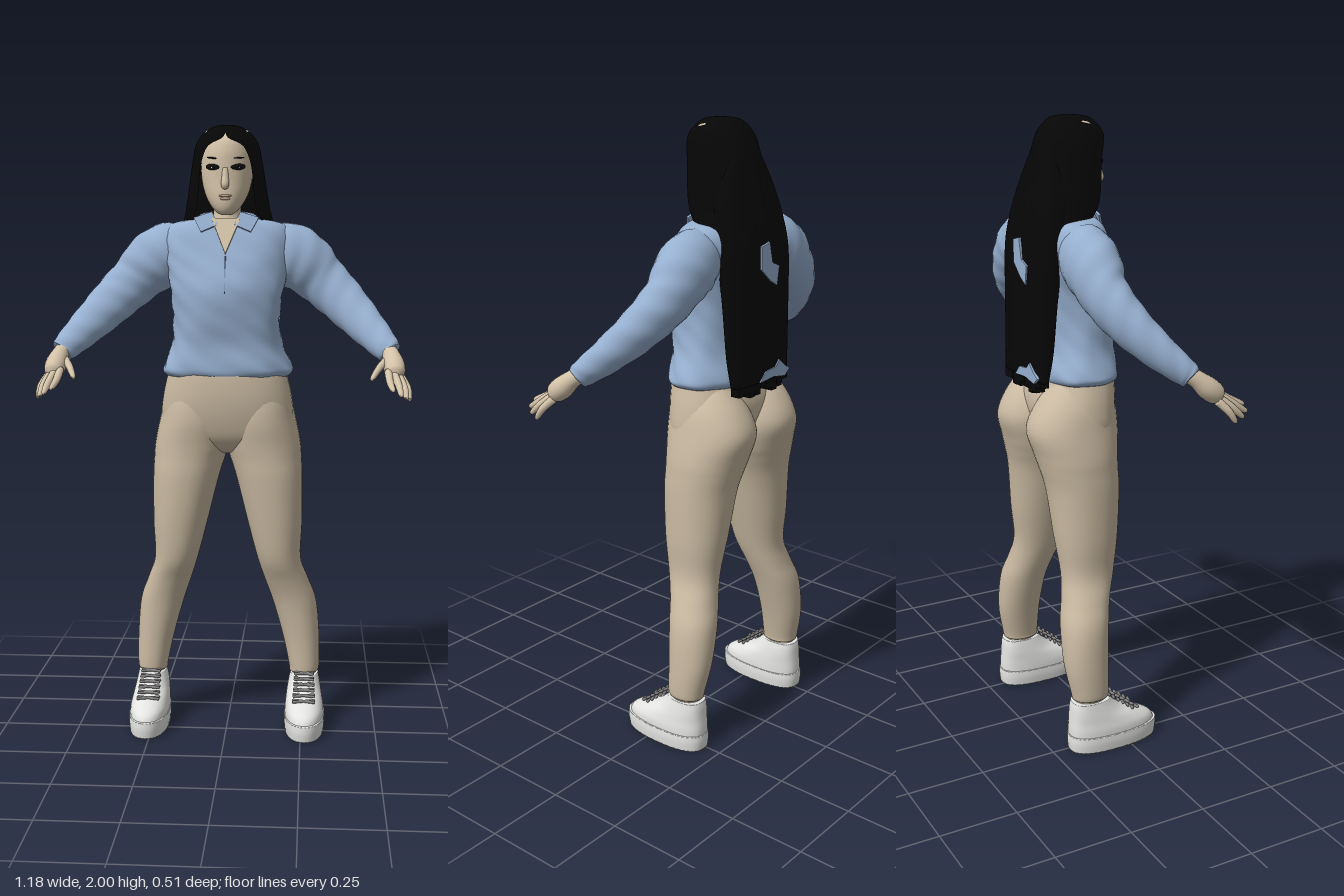
import * as THREE from 'three';

const mat = (name, color, side = THREE.FrontSide) => {
  const m = new THREE.MeshStandardMaterial({ color, side });
  m.name = name;
  return m;
};

// Smooth skin over rows of points; rows run down the part, points run front -> +x -> back
function skin(rows, closed) {
  const n = rows[0].length, idx = [];
  for (let i = 0; i < rows.length - 1; i++)
    for (let j = 0; j < (closed ? n : n - 1); j++) {
      const a = i * n + j, c = i * n + (j + 1) % n;
      idx.push(a, a + n, c, c, a + n, c + n);
    }
  const g = new THREE.BufferGeometry();
  g.setAttribute('position', new THREE.Float32BufferAttribute(rows.flat(2), 3));
  g.setIndex(idx);
  g.computeVertexNormals();
  return g;
}

// Catmull-Rom through a list of equal-length number rows
function smoothRows(list, steps) {
  const out = [], at = i => list[Math.max(0, Math.min(list.length - 1, i))];
  for (let i = 0; i < list.length - 1; i++)
    for (let k = 0; k < steps; k++) {
      const t = k / steps;
      out.push(at(i).map((p1, c) => {
        const p0 = at(i - 1)[c], p2 = at(i + 1)[c], p3 = at(i + 2)[c];
        return p1 + 0.5 * t * (p2 - p0 + t * (2 * p0 - 5 * p1 + 4 * p2 - p3 + t * (3 * (p1 - p2) + p3 - p0)));
      }));
    }
  out.push(at(list.length - 1));
  return out;
}

const pw = (v, p) => Math.sign(v) * Math.abs(v) ** p;

// Horizontal sections, top down: [y, xMin, xMax, zBack, zFront, frontOpeningAngle]
// p squares off the outline, front does so for its front half, taper narrows it forwards
function loft(secs, { p = 1, front = p, s = 1, open = false, n = 40, ripple = 0, taper = 0 } = {}) {
  const rows = smoothRows(secs, 5).map(([y, x0, x1, z0, z1, gap = 0]) => {
    const cx = s * (x0 + x1) / 2, cz = (z0 + z1) / 2, g = Math.max(gap, 0), row = [];
    for (let j = 0; j < n; j++) {
      const a = open ? g + (2 * Math.PI - 2 * g) * j / (n - 1) : 2 * Math.PI * j / n;
      const k = 1 + ripple * Math.sin(a * 7 + y * 30) * Math.sin(y * 47 + a * 2);
      const e = Math.cos(a) > 0 ? front : p;
      row.push([cx + pw(Math.sin(a), e) * k * (1 - taper * Math.cos(a)) * (x1 - x0) / 2, y,
        cz + pw(Math.cos(a), e) * k * (z1 - z0) / 2]);
    }
    return row;
  });
  if (!open) cap(rows);
  return skin(rows, !open);
}

function cap(rows) {
  const flat = r => {
    const c = [0, 1, 2].map(k => r.reduce((t, v) => t + v[k], 0) / r.length);
    return r.map(() => c);
  };
  rows.unshift(flat(rows[0]));
  rows.push(flat(rows[rows.length - 1]));
}

// Limb along points [x, y, z, radius]; depth scales its front-to-back thickness
function limb(pts, { s = 1, n = 20, ripple = 0, depth = 1 } = {}) {
  const path = smoothRows(pts.map(([x, y, z, r]) => [x * s, y, z, r]), 6);
  const v = i => new THREE.Vector3(...path[Math.max(0, Math.min(path.length - 1, i))].slice(0, 3));
  const rows = path.map((q, i) => {
    const T = v(i + 1).sub(v(i - 1)).normalize();
    const R = new THREE.Vector3(0, 0, 1).cross(T).normalize(), F = T.clone().cross(R);
    return Array.from({ length: n }, (_, j) => {
      const a = 2 * Math.PI * j / n, r = q[3] * (1 + ripple * Math.sin(i * 1.1 + 3 * a));
      return v(i).addScaledVector(R, r * Math.sin(a)).addScaledVector(F, depth * r * Math.cos(a)).toArray();
    });
  });
  cap(rows);
  return skin(rows, true);
}

const plate = (pts, depth) => new THREE.ExtrudeGeometry(
  new THREE.Shape(pts.map(p => new THREE.Vector2(...p))), { depth, bevelEnabled: false });

export function createModel() {
  const root = new THREE.Group();
  root.name = 'standingWoman';
  const skinTone = mat('skin', 0xd3c2a8), shirt = mat('shirtBlue', 0x97b0d0, THREE.DoubleSide);
  const pants = mat('trouserBeige', 0xcabaa2), hair = mat('hairBlack', 0x060606, THREE.DoubleSide);
  const white = mat('shoeWhite', 0xe4e4e2), lace = mat('laceGrey', 0x827f80);
  const dark = mat('eyeDark', 0x0e0c0c), lip = mat('lip', 0xbfa592), seam = mat('seamBlue', 0x7d97bb);
  const add = (name, geo, m, pos = [0, 0, 0], rot = [0, 0, 0], scale = [1, 1, 1]) => {
    const o = new THREE.Mesh(geo, m);
    o.name = name;
    o.position.set(...pos); o.rotation.set(...rot); o.scale.set(...scale);
    root.add(o);
  };
  const ball = new THREE.SphereGeometry(1, 20, 14);

  // Head and neck
  add('head', loft([[1.972, -.04, .04, -.11, 0], [1.95, -.066, .066, -.13, .034], [1.91, -.08, .08, -.15, .048],
    [1.865, -.084, .084, -.15, .05], [1.82, -.08, .08, -.13, .05], [1.775, -.067, .067, -.1, .052],
    [1.74, -.047, .047, -.06, .049], [1.72, -.028, .028, -.03, .04], [1.713, -.012, .012, -.01, .028]]), skinTone);
  add('neck', loft([[1.78, -.045, .045, -.11, 0], [1.72, -.045, .045, -.11, -.005], [1.67, -.06, .06, -.12, .008]]), skinTone);
  add('nose', limb([[0, 1.858, .044, .009], [0, 1.83, .05, .011], [0, 1.806, .055, .013], [0, 1.797, .05, .009]]), skinTone);
  add('upperLip', ball, lip, [0, 1.772, .05], [0, 0, 0], [.021, .004, .005]);
  add('lowerLip', ball, lip, [0, 1.763, .049], [0, 0, 0], [.016, .005, .006]);
  for (const s of [1, -1]) {
    add('lashes', ball, dark, [s * .04, 1.862, .036], [0, s * .45, s * .08], [.026, .01, .006]);
    add('eyeWhite', ball, white, [s * .038, 1.86, .0405], [0, s * .4, 0], [.011, .004, .003]);
    add('iris', ball, dark, [s * .038, 1.86, .042], [0, s * .4, 0], [.005, .005, .003]);
    add('eyebrow', ball, dark, [s * .042, 1.89, .036], [0, s * .45, s * .1], [.02, .0025, .003]);
  }

  // Hair: crown framing the face, then a long fall down the back
  add('hairCrown', loft([[2, -.004, .004, -.062, -.054, 0], [1.993, -.045, .045, -.11, .005, 0],
    [1.972, -.078, .078, -.135, .035, 0], [1.95, -.095, .095, -.15, .052, .12], [1.925, -.105, .105, -.16, .058, .62],
    [1.87, -.115, .115, -.175, .055, .82], [1.8, -.126, .126, -.19, .05, .82], [1.74, -.136, .136, -.207, .04, .82],
    [1.69, -.147, .147, -.218, .01, .95], [1.63, -.15, .15, -.226, -.04, 1.3]], { open: true, n: 64, taper: .08 }), hair);
  add('hairFall', loft([[1.9, -.07, .07, -.16, -.09], [1.8, -.115, .115, -.188, -.09], [1.7, -.14, .14, -.214, -.1],
    [1.6, -.152, .152, -.226, -.13], [1.45, -.148, .148, -.228, -.15], [1.3, -.143, .143, -.228, -.165],
    [1.205, -.138, .138, -.228, -.185]], { p: .65, n: 56 }), hair);
  for (let i = 0; i < 9; i++) {
    const d = .02 + .025 * Math.abs(Math.sin(i * 2.3));
    add('hairTip', new THREE.BoxGeometry(.027, d, .03), hair, [-.112 + i * .028, 1.207 - d / 2, -.207]);
  }
  for (const s of [1, -1])
    add('hairSliver', ball, skinTone, [s * .064, 1.977, -.03], [.2, 0, -s * .6], [.006, .004, .017]);

  // Shirt showing through the hair
  add('shirtPatchUpper', plate([[.03, 1.63], [.03, 1.56], [-.015, 1.52], [-.05, 1.5], [-.06, 1.56], [-.025, 1.575],
    [-.01, 1.64]].reverse(), .007), shirt, [0, 0, -.232]);
  add('shirtPatchLower', plate([[.03, 1.205], [0, 1.235], [-.05, 1.24], [-.07, 1.26], [-.1, 1.235], [-.125, 1.22],
    [-.1, 1.2], [-.04, 1.21]], .009), shirt, [0, 0, -.232]);

  // Shirt
  add('shirtBody', loft([[1.705, -.085, .085, -.14, -.015], [1.692, -.17, .17, -.165, 0], [1.66, -.21, .21, -.19, .017],
    [1.6, -.212, .212, -.2, .04], [1.54, -.196, .196, -.195, .062], [1.47, -.182, .182, -.18, .08], [1.38, -.175, .175, -.172, .073],
    [1.3, -.182, .182, -.172, .06], [1.235, -.208, .208, -.185, .062], [1.21, -.214, .214, -.185, .06],
    [1.195, -.2, .2, -.178, .052]], { p: .85, n: 64, ripple: .025 }), shirt);
  add('collar', loft([[1.725, -.062, .062, -.14, .002, .75], [1.718, -.088, .088, -.16, .015, .68],
    [1.695, -.112, .112, -.178, .028, .6], [1.674, -.122, .122, -.186, .034, .62]], { open: true }), shirt);
  add('neckOpening', plate([[0, 0], [.046, .12], [-.046, .12]], .008), skinTone, [0, 1.588, .046], [-.36, 0, 0]);
  add('placketSeam', new THREE.BoxGeometry(.004, .12, .006), seam, [0, 1.525, .067], [-.27, 0, 0]);
  for (const s of [1, -1]) {
    const point = [[.045, .045], [.025, 0], [.08, -.022], [.105, .028]].map(([x, y]) => [s * x, y]);
    add('collarPoint', plate(point, .007), shirt, [0, 1.682, .016], [-.38, s * .12, 0]);
    add('sleeve', limb([[.12, 1.6, -.092, .075], [.19, 1.594, -.097, .1], [.25, 1.56, -.1, .1], [.305, 1.508, -.1, .085],
      [.36, 1.455, -.08, .077], [.415, 1.398, -.043, .068], [.472, 1.338, .01, .056], [.512, 1.295, .055, .045],
      [.526, 1.28, .068, .038]], { s, n: 28, ripple: .018, depth: .83 }), shirt);
  }

  // Hands
  const fingers = [
    [[.515, 1.228, .155], [.518, 1.2, .205], [.525, 1.18, .248]],
    [[.533, 1.222, .157], [.545, 1.19, .205], [.55, 1.165, .243]],
    [[.548, 1.215, .15], [.563, 1.183, .19], [.568, 1.155, .22]],
    [[.558, 1.208, .14], [.575, 1.178, .168], [.58, 1.148, .188]],
    [[.512, 1.26, .1], [.487, 1.238, .15], [.465, 1.212, .208]]];
  for (const s of [1, -1]) {
    add('palm', limb([[.51, 1.298, .05, .025], [.526, 1.275, .085, .027], [.534, 1.245, .12, .034],
      [.537, 1.222, .15, .03], [.538, 1.213, .163, .014]], { s }), skinTone);
    for (const f of fingers)
      add('finger', limb([...f.map((q, i) => [...q, [.0125, .0115, .008][i]]),
        [f[2][0], f[2][1] - .004, f[2][2] + .004, .003]], { s, n: 10 }), skinTone);
  }

  // Trousers
  add('trouserHips', loft([[1.24, -.185, .185, -.16, .05], [1.19, -.199, .199, -.178, .057], [1.12, -.214, .214, -.196, .057],
    [1.05, -.218, .218, -.185, .046], [.99, -.19, .19, -.15, .026], [.95, -.12, .12, -.12, -.01], [.935, -.04, .04, -.1, -.05]],
  { p: .85 }), pants);
  for (const s of [1, -1]) {
    add('trouserLeg', loft([[1.21, .05, .16, -.145, 0], [1.13, .005, .206, -.214, .036], [1.05, -.014, .227, -.25, .046],
      [.97, -.008, .243, -.23, .038], [.92, .008, .247, -.216, .035], [.85, .03, .25, -.2, .034], [.7, .068, .25, -.186, .022],
      [.58, .1, .246, -.172, .004], [.5, .125, .272, -.182, -.025], [.42, .152, .3, -.2, -.044], [.3, .186, .311, -.202, -.055],
      [.2, .208, .312, -.184, -.058], [.178, .21, .308, -.18, -.06]], { s, p: .93 }), pants);

    // Shoe with sole and crossed laces
    add('ankle', loft([[.21, .218, .302, -.172, -.07], [.12, .218, .302, -.172, -.07]], { s }), skinTone);
    add('shoeUpper', loft([[.17, .214, .308, -.184, -.055], [.15, .209, .312, -.188, -.038], [.125, .204, .317, -.19, -.005],
      [.1, .2, .322, -.192, .055], [.075, .197, .327, -.194, .1], [.05, .196, .328, -.194, .114]],
    { s, p: .78, front: .92 }), white);
    add('shoeSole', loft([[.055, .195, .33, -.196, .12], [.03, .194, .331, -.197, .121], [0, .197, .328, -.194, .117]],
      { s, p: .76, front: .9 }), white);
    for (let i = 0; i < 6; i++) for (const d of [1, -1])
      add('lace', new THREE.CapsuleGeometry(.005, .07 - i * .002, 4, 8), lace,
        [s * .261, .112 + i * .0135, .03 - i * .0175], [0, d * .28, Math.PI / 2]);
  }
  return root;
}
